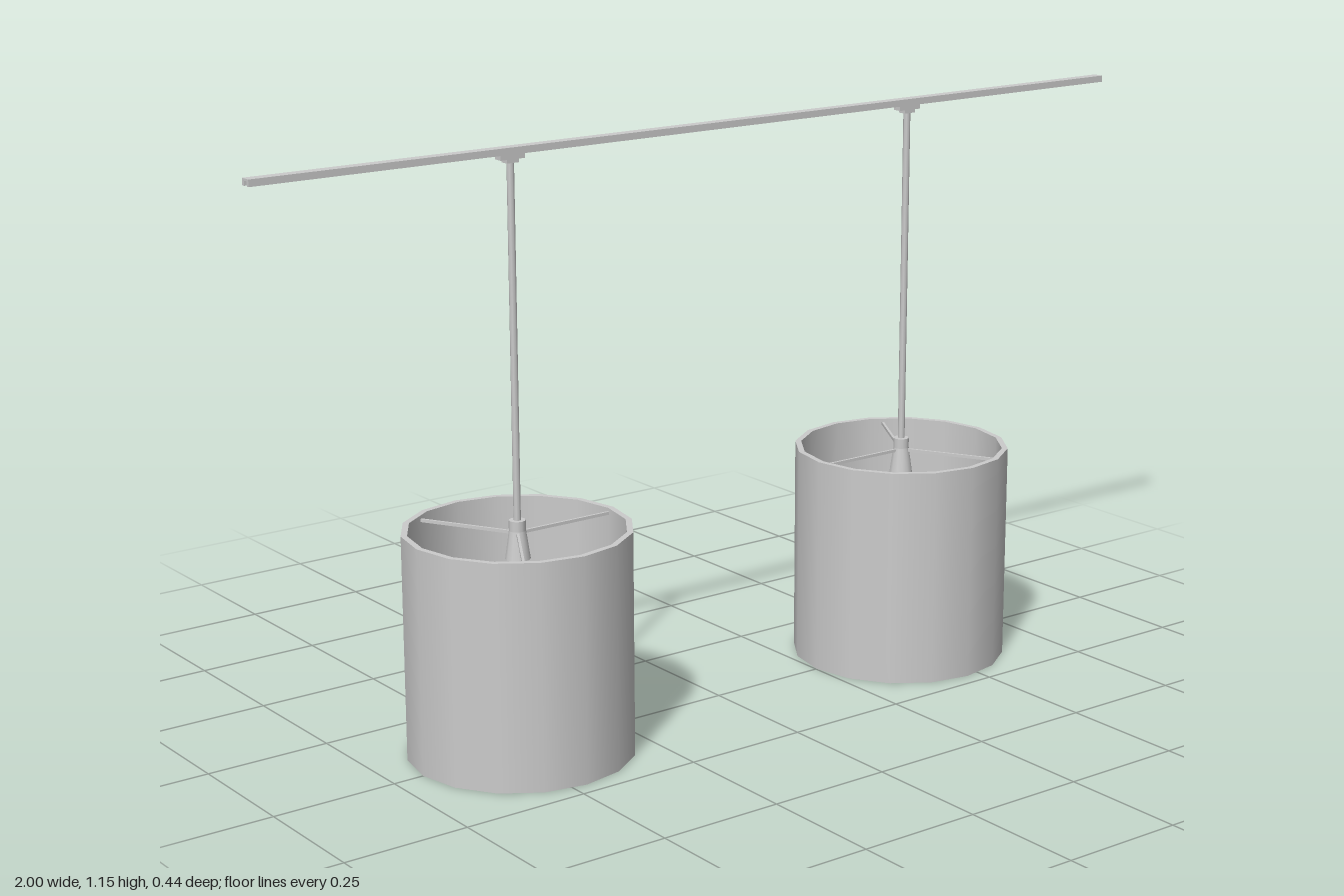
import * as THREE from 'three';

const SHADE_R = 0.218, SHADE_H = 0.44, WALL = 0.012;
const RAIL_BOTTOM = 1.141, RAIL_TOP = 1.154;

const material = new THREE.MeshStandardMaterial({ color: 0xcccccc });

function add(parent, name, geometry, x = 0, y = 0, z = 0) {
  const mesh = new THREE.Mesh(geometry, material);
  mesh.name = name;
  mesh.position.set(x, y, z);
  parent.add(mesh);
  return mesh;
}

// Lathe from [radius, y] pairs; corners are doubled so edges stay sharp
function turned(points, sides) {
  const parts = points.slice(1).map((p, i) => [points[i], p]);
  const group = new THREE.Group();
  for (const [a, b] of parts) {
    add(group, 'surface', new THREE.LatheGeometry([new THREE.Vector2(...a), new THREE.Vector2(...b)], sides));
  }
  return group;
}

function createPendant() {
  const pendant = new THREE.Group();

  // Open drum shade: outer wall, top rim, inner wall, bottom rim
  const inner = SHADE_R - WALL;
  const shade = turned([[inner, 0], [SHADE_R, 0], [SHADE_R, SHADE_H], [inner, SHADE_H], [inner, 0]], 16);
  shade.name = 'shade';
  pendant.add(shade);

  // Flared lamp socket with a collar on top
  const socket = turned([
    [0, 0.38], [0.024, 0.38], [0.016, 0.435], [0.016, 0.455], [0, 0.455],
  ], 12);
  socket.name = 'socket';
  pendant.add(socket);

  // Three spokes carrying the shade
  for (let i = 0; i < 3; i++) {
    const spoke = new THREE.Group();
    spoke.name = 'spoke';
    add(spoke, 'spokeWire', new THREE.BoxGeometry(0.2, 0.006, 0.005), 0.11, 0.43);
    spoke.rotation.y = i * Math.PI * 2 / 3;
    pendant.add(spoke);
  }

  // Hanging rod
  add(pendant, 'rod', new THREE.CylinderGeometry(0.007, 0.007, 0.68, 8), 0, 0.79);

  // Track adapter, a block over a smaller foot
  add(pendant, 'adapter', new THREE.BoxGeometry(0.052, 0.01, 0.018), 0, 1.137);
  add(pendant, 'adapterFoot', new THREE.BoxGeometry(0.026, 0.007, 0.018), 0, 1.129);
  return pendant;
}

export function createModel() {
  const model = new THREE.Group();

  // Ceiling rail: channel section with a groove along the underside
  const section = new THREE.Shape([
    [-0.011, RAIL_BOTTOM], [-0.005, RAIL_BOTTOM], [-0.005, RAIL_TOP - 0.004], [0.005, RAIL_TOP - 0.004],
    [0.005, RAIL_BOTTOM], [0.011, RAIL_BOTTOM], [0.011, RAIL_TOP], [-0.011, RAIL_TOP],
  ].map(([x, y]) => new THREE.Vector2(x, y)));
  const railGeometry = new THREE.ExtrudeGeometry(section, { depth: 2, bevelEnabled: false });
  railGeometry.translate(0, 0, -1).rotateY(Math.PI / 2);
  add(model, 'rail', railGeometry);

  // Two pendants, the second turned to face the first
  for (const side of [-1, 1]) {
    const pendant = createPendant();
    pendant.name = side < 0 ? 'rightPendant' : 'leftPendant';
    pendant.position.x = side * 0.47;
    pendant.rotation.y = side < 0 ? 0 : Math.PI;
    model.add(pendant);
  }
  return model;
}
